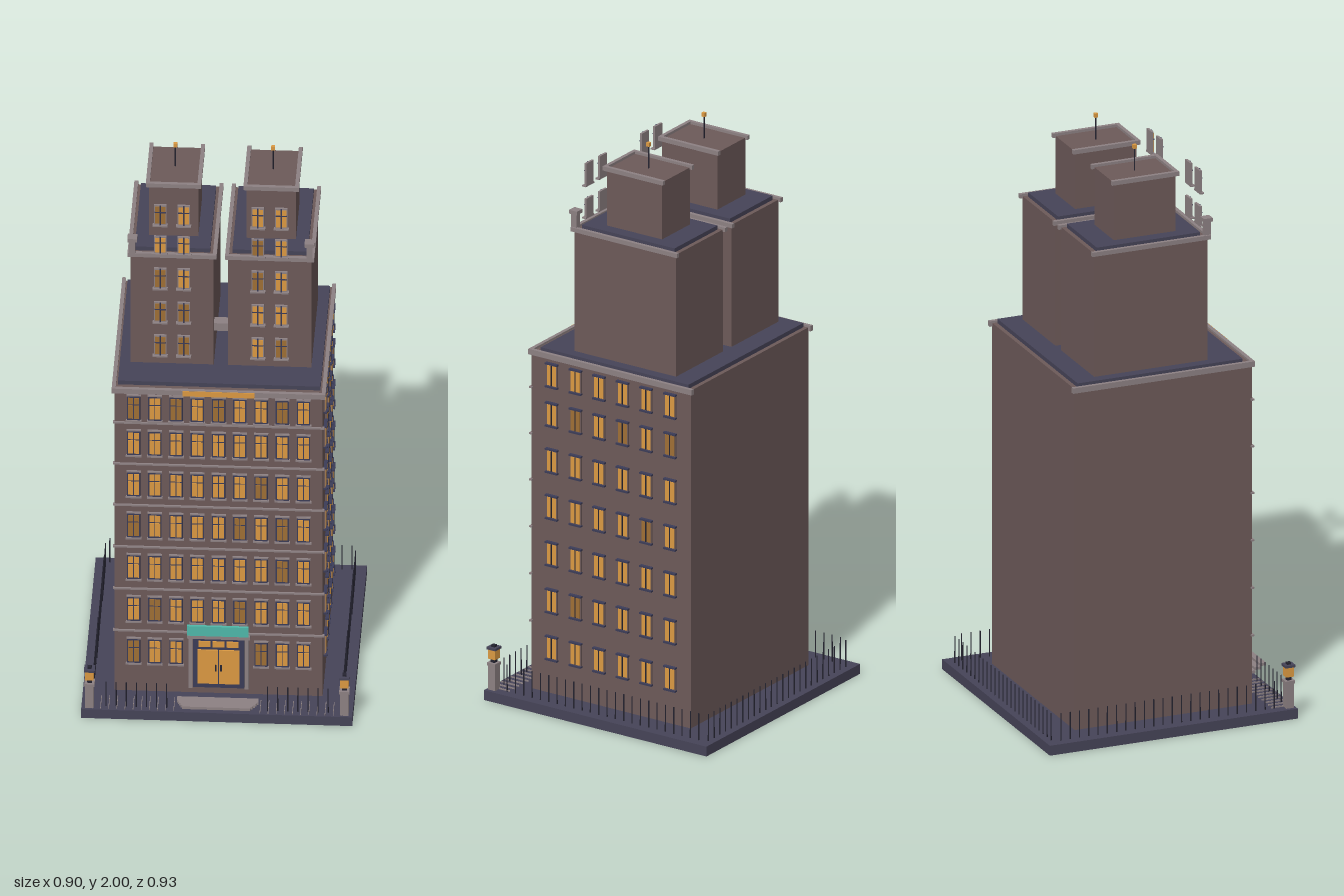
import * as THREE from 'three';

const mat = (name, color) => {
  const m = new THREE.MeshStandardMaterial({ color });
  m.name = name;
  return m;
};

export function createModel() {
  const wall = mat('brownstone', 0x6d5a59);
  const slate = mat('slate', 0x464458);
  const trim = mat('stoneTrim', 0x8d8183);
  const gold = mat('litGold', 0xdc9a42);
  const dim = mat('dimGold', 0xa06f35);
  const navy = mat('navyFrame', 0x3b3c58);
  const iron = mat('darkIron', 0x252431);
  const teal = mat('tealAwning', 0x4fb9aa);

  const root = new THREE.Group();
  root.name = 'apartmentBuilding';
  const group = (name, parent = root) => {
    const g = new THREE.Group();
    g.name = name;
    parent.add(g);
    return g;
  };
  // box given by its low and high corners
  const box = (name, m, [x0, x1], [y0, y1], [z0, z1], parent = root) => {
    const mesh = new THREE.Mesh(new THREE.BoxGeometry(x1 - x0, y1 - y0, z1 - z0), m);
    mesh.position.set((x0 + x1) / 2, (y0 + y1) / 2, (z0 + z1) / 2);
    mesh.name = name;
    parent.add(mesh);
    return mesh;
  };
  // trim rail on the front and both sides, open at the back
  const cornice = (x0, x1, z0, z1, y0, y1, parent) => {
    const t = 0.013, o = 0.01;
    box('corniceSide', trim, [x0 - o, x0 + t - o], [y0, y1], [z0 - o, z1 + o], parent);
    box('corniceSide', trim, [x1 - t + o, x1 + o], [y0, y1], [z0 - o, z1 + o], parent);
    box('corniceFront', trim, [x0, x1], [y0, y1], [z1 - t + o, z1 + o], parent);
  };
  let seed = 7;
  const rand = () => (seed = (seed * 16807) % 2147483647) / 2147483647;

  // window centred on its own origin, facing +z, back at z = 0
  const makeWindow = (name, parent, w, h, d, frame, split) => {
    const g = group(name, parent);
    const glass = rand() < 0.25 ? dim : gold;
    box('windowFrame', frame, [-w / 2, w / 2], [-h / 2, h / 2], [0, d], g);
    const pw = w * 0.38, low = -h * 0.43, high = h * 0.43;
    for (const s of [-1, 1]) {
      const c = s * w * 0.22;
      const px = [c - pw / 2, c + pw / 2];
      if (split) {
        box('lowerPane', glass, px, [low, h * 0.12], [d, d + 0.002], g);
        box('upperPane', glass, px, [h * 0.17, high], [d, d + 0.002], g);
      } else {
        box('pane', glass, px, [low, high], [d, d + 0.002], g);
      }
    }
    return g;
  };

  // base slab and main block
  box('baseSlab', slate, [-0.45, 0.45], [0, 0.035], [-0.465, 0.43]);
  box('mainBlock', wall, [-0.345, 0.345], [0.035, 1.24], [-0.33, 0.31]);
  cornice(-0.345, 0.345, -0.33, 0.307, 1.228, 1.247, root);
  box('mainRoof', slate, [-0.336, 0.336], [1.24, 1.255], [-0.315, 0.28]);
  box('goldFrieze', gold, [-0.12, 0.12], [1.226, 1.246], [0.31, 0.319]);

  // floors: string courses, front windows and windows on the left side
  const rows = [0.197, 0.365, 0.533, 0.7, 0.865, 1.03, 1.17];
  rows.forEach((y, r) => {
    if (r < 6) box('stringCourse', trim, [-0.351, 0.351], [y + 0.077, y + 0.083], [0.305, 0.316]);
    for (let i = -4; i <= 4; i++) {
      if (r === 0 && Math.abs(i) < 2) continue;
      const g = makeWindow('frontWindow', root, 0.044, 0.096, 0.005, navy, true);
      g.position.set(i * 0.0705, y, 0.31);
      box('windowSill', trim, [-0.026, 0.026], [-0.054, -0.048], [0, 0.009], g);
      box('windowLintel', trim, [-0.024, 0.024], [0.048, 0.053], [0, 0.007], g);
    }
    for (let i = 0; i < 6; i++) {
      const g = makeWindow('sideWindow', root, 0.044, 0.082, 0.006, wall, false);
      g.position.set(0.345, y, 0.225 - i * 0.095);
      g.rotation.y = Math.PI / 2;
      box('sideMullion', iron, [-0.002, 0.002], [-0.036, 0.036], [0.006, 0.009], g);
      box('sideLintel', navy, [-0.024, 0.024], [0.038, 0.044], [0, 0.012], g);
      box('sideSill', navy, [-0.024, 0.024], [-0.044, -0.038], [0, 0.012], g);
    }
  });

  // twin towers
  for (const s of [-1, 1]) {
    const t = group(s < 0 ? 'rightTower' : 'leftTower');
    const X = (a, b) => (s < 0 ? [-b, -a] : [a, b]);
    box('towerBlock', wall, X(0.024, 0.3), [1.25, 1.69], [-0.24, 0.168], t);
    cornice(...X(0.024, 0.3), -0.24, 0.168, 1.683, 1.698, t);
    box('towerRoof', slate, X(0.037, 0.287), [1.69, 1.705], [-0.225, 0.148], t);
    box('penthouse', wall, X(0.08, 0.244), [1.7, 1.908], [-0.145, 0.077], t);
    cornice(...X(0.08, 0.244), -0.145, 0.077, 1.902, 1.917, t);

    // corner pinnacle
    box('pinnacle', trim, X(0.284, 0.304), [1.69, 1.75], [0.157, 0.179], t);
    box('pinnacleCap', trim, X(0.278, 0.31), [1.745, 1.758], [0.152, 0.184], t);

    // mast with gilded tip
    const mast = new THREE.Mesh(new THREE.CylinderGeometry(0.0025, 0.0025, 0.08, 8), iron);
    mast.name = 'mast';
    mast.position.set(s * 0.162, 1.948, -0.035);
    t.add(mast);
    box('mastTip', gold, X(0.156, 0.168), [1.986, 2], [-0.041, -0.029], t);

    // tower windows all stand on one front plane
    [1.335, 1.468, 1.603, 1.737, 1.857].forEach((y, r) => {
      for (const x of [0.123, 0.201]) {
        const h = r === 3 ? 0.066 : 0.078;
        const g = makeWindow('towerWindow', t, 0.042, h, 0.008, trim, true);
        g.position.set(s * x, y, 0.174);
        box('towerMullion', navy, [-0.002, 0.002], [-h / 2, h / 2], [0.008, 0.011], g);
        box('towerTransom', navy, [-0.019, 0.019], [h * 0.12, h * 0.17], [0.008, 0.011], g);
        box('towerSill', trim, [-0.025, 0.025], [-h / 2 - 0.005, -h / 2], [0, 0.015], g);
      }
    });
  }
  box('towerBridge', trim, [-0.025, 0.025], [1.385, 1.415], [0.123, 0.16]);

  // entrance
  const entry = group('entrance');
  box('doorSurround', navy, [-0.085, 0.085], [0.06, 0.262], [0.31, 0.316], entry);
  for (const s of [-1, 1]) {
    const X = (a, b) => (s < 0 ? [-b, -a] : [a, b]);
    box('doorLeaf', gold, X(0.002, 0.069), [0.078, 0.212], [0.316, 0.321], entry);
    box('doorHandle', iron, X(0.006, 0.012), [0.13, 0.155], [0.321, 0.324], entry);
    box('pilaster', trim, X(0.086, 0.1), [0.06, 0.262], [0.31, 0.322], entry);
  }
  for (let i = -1; i <= 1; i++) {
    box('transomPane', gold, [i * 0.046 - 0.02, i * 0.046 + 0.02], [0.224, 0.246], [0.316, 0.32], entry);
  }
  box('doorLintel', trim, [-0.105, 0.105], [0.258, 0.27], [0.31, 0.324], entry);
  box('awning', teal, [-0.104, 0.1], [0.275, 0.313], [0.322, 0.331], entry);

  // thin stone treads, narrowing and rising outward
  const widths = [0.27, 0.262, 0.252, 0.24, 0.226];
  widths.forEach((w, i) => {
    const z = 0.351 + i * 0.022, y = 0.035 + i * 0.0085;
    box('step', trim, [-w / 2, w / 2], [y, y + 0.01], [z, z + 0.022], entry);
  });

  // fence pickets and flat paving strips
  const fence = group('fence');
  const picket = new THREE.CylinderGeometry(0.002, 0.0025, 0.095, 6);
  const addPicket = (x, z) => {
    const p = new THREE.Mesh(picket, iron);
    p.name = 'picket';
    p.position.set(x, 0.0825, z);
    fence.add(p);
  };
  for (let i = -12; i <= 12; i++) {
    const x = i * 0.0335;
    addPicket(x, -0.44);
    if (Math.abs(x) > 0.14 && Math.abs(x) < 0.4) addPicket(x, 0.405);
  }
  for (let i = 0; i < 24; i++) {
    for (const x of [-0.415, 0.415]) addPicket(x, -0.41 + i * 0.0335);
  }
  for (let i = 5; i <= 15; i++) {
    for (const s of [-1, 1]) {
      const x = s * (i * 0.027 + 0.008);
      box('pavingStrip', trim, [x - 0.001, x + 0.001], [0.035, 0.04], [0.35, 0.424], fence);
    }
  }

  // gate posts with lanterns
  for (const s of [-1, 1]) {
    const lamp = group('gateLantern');
    lamp.position.set(s * 0.423, 0, 0.408);
    const sq = (name, m, r, y0, y1) => box(name, m, [-r, r], [y0, y1], [-r, r], lamp);
    sq('gatePost', trim, 0.014, 0.035, 0.125);
    sq('postCap', trim, 0.017, 0.122, 0.132);
    sq('lanternFoot', iron, 0.008, 0.132, 0.145);
    sq('lanternGlass', gold, 0.014, 0.145, 0.179);
    sq('lanternCap', slate, 0.018, 0.179, 0.187);
    sq('lanternFinial', iron, 0.007, 0.187, 0.194);
  }

  return root;
}
